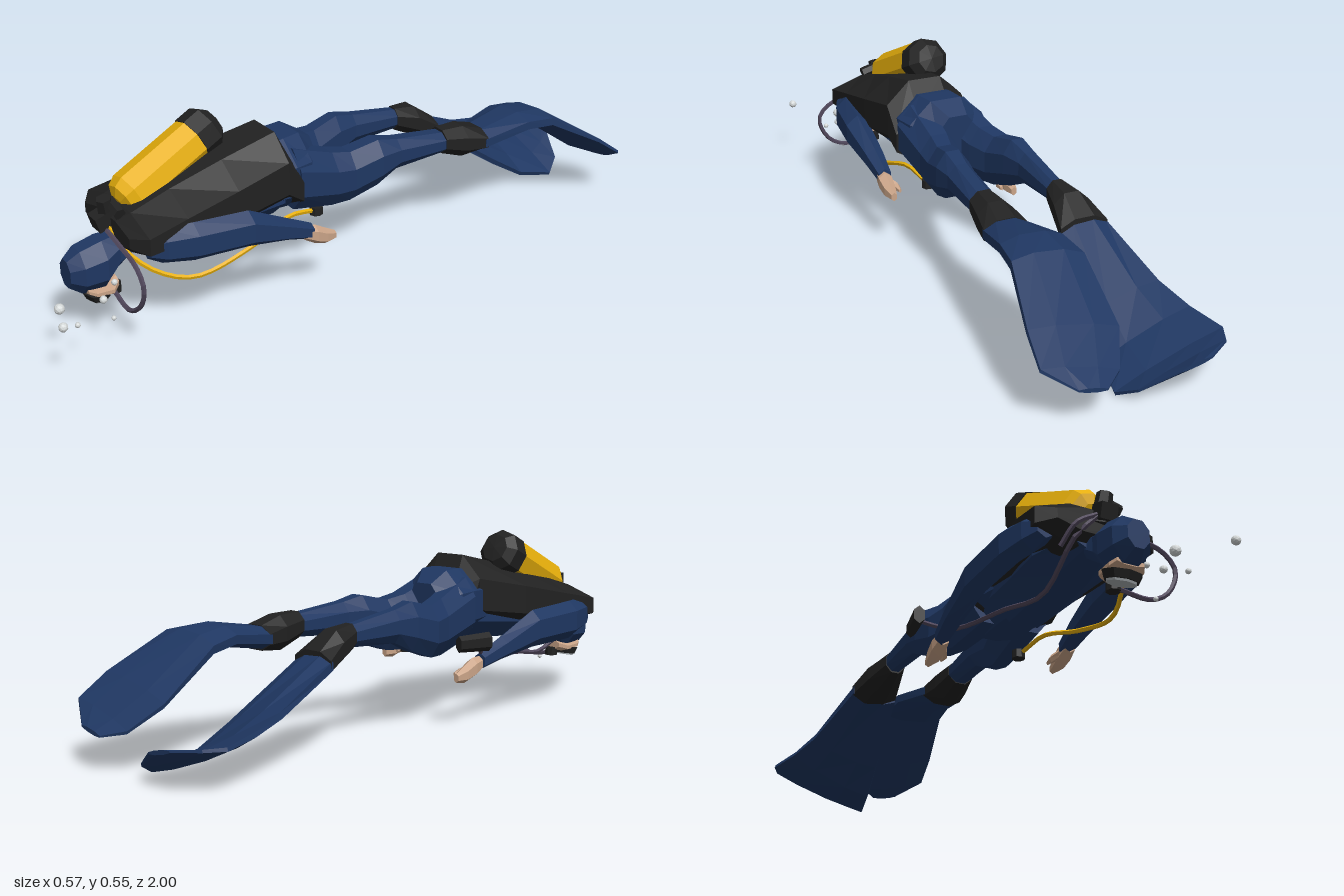
import * as THREE from 'three';

const mat = (name, color) => {
  const m = new THREE.MeshStandardMaterial({ color });
  m.name = name;
  return m;
};

export function createModel() {
  const model = new THREE.Group();
  model.name = 'diver';
  const blue = mat('wetsuit blue', 0x1f3762);
  const black = mat('gear black', 0x212121);
  const yellow = mat('tank yellow', 0xeeb50c);
  const skin = mat('skin', 0xcaa488);
  const hoseGrey = mat('hose grey', 0x50475b);
  const glass = mat('mask glass', 0xaab0b4);
  const bubbleWhite = mat('bubble white', 0xd6dada);

  // Adds a faceted mesh
  const add = (name, geometry, material, pos = [0, 0, 0], rot = [0, 0, 0]) => {
    const g = geometry.index ? geometry.toNonIndexed() : geometry;
    g.computeVertexNormals();
    const mesh = new THREE.Mesh(g, material);
    mesh.name = name;
    mesh.position.set(...pos);
    mesh.rotation.set(...rot);
    model.add(mesh);
    return mesh;
  };

  // Skins elliptical sections [x, y, z, rx, ry, roll], ordered from head to feet
  const loft = (name, material, sections, n = 8) => {
    const p = [], idx = [];
    const k = 1 / Math.cos(Math.PI / n);
    for (const [x, y, z, rx, ry, roll = 0] of sections) {
      for (let i = 0; i < n; i++) {
        const t = ((i + 0.5) / n) * Math.PI * 2;
        const u = Math.cos(t) * rx * k, v = Math.sin(t) * ry * k;
        p.push(x + u * Math.cos(roll) - v * Math.sin(roll), y + u * Math.sin(roll) + v * Math.cos(roll), z);
      }
    }
    const last = (sections.length - 1) * n;
    for (let s = 0; s < last; s += n) {
      for (let i = 0; i < n; i++) {
        const j = (i + 1) % n;
        idx.push(s + i, s + n + i, s + j, s + j, s + n + i, s + n + j);
      }
    }
    for (let i = 1; i < n - 1; i++) idx.push(0, i, i + 1, last, last + i + 1, last + i);
    const g = new THREE.BufferGeometry();
    g.setAttribute('position', new THREE.Float32BufferAttribute(p, 3));
    g.setIndex(idx);
    return add(name, g, material);
  };

  const hose = (name, material, points, r = 0.007) => {
    const curve = new THREE.CatmullRomCurve3(points.map((q) => new THREE.Vector3(...q)));
    add(name, new THREE.TubeGeometry(curve, points.length * 3, r, 5), material);
  };

  // Torso: buoyancy vest over a suit that shows at the belly and hips
  loft('vest', black, [
    [0.01, 0.30, 0.735, 0.13, 0.035], [0.012, 0.30, 0.70, 0.18, 0.06], [0.015, 0.315, 0.58, 0.172, 0.082],
    [0.035, 0.34, 0.42, 0.152, 0.105], [0.052, 0.368, 0.25, 0.125, 0.118], [0.04, 0.31, 0.195, 0.131, 0.07]]);
  loft('belly', blue, [
    [0.01, 0.27, 0.71, 0.08, 0.035], [0.01, 0.28, 0.58, 0.12, 0.07],
    [0.03, 0.305, 0.42, 0.115, 0.09], [0.045, 0.325, 0.25, 0.11, 0.10]]);
  loft('hips', blue, [
    [0.045, 0.34, 0.30, 0.11, 0.10], [0.035, 0.34, 0.21, 0.125, 0.108], [0.025, 0.335, 0.15, 0.12, 0.112],
    [0.012, 0.325, 0.09, 0.07, 0.085]]);

  // Hooded head, face and mask
  loft('hood', blue, [
    [0.028, 0.205, 0.875, 0.032, 0.04], [0.028, 0.205, 0.84, 0.056, 0.064], [0.028, 0.21, 0.775, 0.06, 0.073],
    [0.028, 0.235, 0.73, 0.045, 0.05], [0.025, 0.28, 0.66, 0.06, 0.045]]);
  loft('face', skin, [
    [0.03, 0.148, 0.83, 0.04, 0.01], [0.03, 0.14, 0.81, 0.052, 0.012],
    [0.03, 0.136, 0.76, 0.052, 0.014], [0.03, 0.145, 0.735, 0.03, 0.015]]);
  add('maskFrame', new THREE.CylinderGeometry(0.06, 0.05, 0.022, 8), black, [0.028, 0.122, 0.79], [0.15, 0, 0]).scale.z = 0.65;
  add('maskGlass', new THREE.CylinderGeometry(0.046, 0.044, 0.006, 8), glass, [0.028, 0.109, 0.787], [0.2, 0, 0]).scale.z = 0.65;
  add('mouthpiece', new THREE.CylinderGeometry(0.02, 0.02, 0.028, 8), black, [0.035, 0.122, 0.738]);

  // Arms and hands
  loft('rightArm', blue, [
    [-0.13, 0.275, 0.69, 0.025, 0.025], [-0.145, 0.275, 0.65, 0.035, 0.045], [-0.17, 0.268, 0.57, 0.033, 0.052],
    [-0.175, 0.26, 0.38, 0.032, 0.05], [-0.17, 0.215, 0.24, 0.026, 0.03], [-0.165, 0.185, 0.15, 0.02, 0.022]], 6);
  loft('leftArm', blue, [
    [0.15, 0.275, 0.69, 0.025, 0.025], [0.16, 0.277, 0.65, 0.035, 0.045], [0.192, 0.28, 0.57, 0.035, 0.05],
    [0.215, 0.28, 0.41, 0.037, 0.048], [0.21, 0.235, 0.28, 0.028, 0.03], [0.21, 0.205, 0.20, 0.02, 0.022]], 6);
  const hand = (side, s, x, y, z) => {
    loft(side + 'Palm', skin, [
      [x, y, z, 0.016, 0.018], [x, y - 0.012, z - 0.035, 0.021, 0.026],
      [x, y - 0.028, z - 0.07, 0.018, 0.022], [x, y - 0.035, z - 0.105, 0.009, 0.012]], 6);
    loft(side + 'Thumb', skin, [
      [x - s * 0.008, y - 0.01, z - 0.02, 0.01, 0.01], [x - s * 0.028, y - 0.025, z - 0.055, 0.009, 0.01],
      [x - s * 0.03, y - 0.03, z - 0.08, 0.004, 0.005]], 5);
  };
  hand('right', -1, -0.16, 0.18, 0.155);
  hand('left', 1, 0.213, 0.205, 0.225);

  // Legs, boots and fins
  loft('rightLeg', blue, [
    [-0.03, 0.33, 0.20, 0.07, 0.095], [-0.065, 0.29, 0.06, 0.055, 0.085], [-0.085, 0.285, 0.0, 0.052, 0.078],
    [-0.095, 0.31, -0.09, 0.046, 0.073], [-0.1, 0.318, -0.16, 0.036, 0.048], [-0.1, 0.308, -0.34, 0.029, 0.03]]);
  loft('leftLeg', blue, [
    [0.09, 0.33, 0.20, 0.075, 0.095], [0.09, 0.29, 0.06, 0.062, 0.085], [0.1, 0.285, 0.0, 0.054, 0.078],
    [0.115, 0.31, -0.09, 0.052, 0.073], [0.12, 0.32, -0.16, 0.042, 0.048], [0.13, 0.315, -0.34, 0.04, 0.032]]);
  loft('rightBoot', black, [
    [-0.1, 0.308, -0.325, 0.032, 0.036], [-0.106, 0.285, -0.40, 0.055, 0.05], [-0.11, 0.25, -0.47, 0.074, 0.036]]);
  loft('leftBoot', black, [
    [0.13, 0.318, -0.325, 0.042, 0.038], [0.13, 0.303, -0.40, 0.055, 0.05], [0.133, 0.295, -0.47, 0.066, 0.036]]);
  loft('rightFin', blue, [
    [-0.11, 0.248, -0.46, 0.072, 0.03, -0.05], [-0.115, 0.125, -0.68, 0.115, 0.022, -0.28],
    [-0.12, 0.077, -0.79, 0.143, 0.017, -0.37], [-0.122, 0.06, -0.90, 0.17, 0.013, -0.33],
    [-0.125, 0.075, -0.955, 0.135, 0.01, -0.3], [-0.138, 0.1, -1.0, 0.045, 0.006, -0.2]]);
  loft('leftFin', blue, [
    [0.133, 0.295, -0.46, 0.065, 0.032], [0.13, 0.32, -0.61, 0.092, 0.03, 0.05],
    [0.13, 0.31, -0.70, 0.106, 0.028, 0.1], [0.147, 0.2, -0.87, 0.133, 0.016, 0.2],
    [0.174, 0.138, -0.955, 0.115, 0.011, 0.25], [0.162, 0.105, -1.0, 0.042, 0.006, 0.2]]);

  // Air tank, with its base boot and valve
  const rear = new THREE.Vector3(-0.025, 0.495, 0.385), front = new THREE.Vector3(0.006, 0.352, 0.695);
  const turn = new THREE.Quaternion().setFromUnitVectors(new THREE.Vector3(0, 1, 0), front.clone().sub(rear).normalize());
  const lathe = (name, material, profile) => {
    const g = new THREE.LatheGeometry(profile.map((q) => new THREE.Vector2(...q)), 8);
    add(name, g, material, rear.toArray()).quaternion.copy(turn);
  };
  lathe('tank', yellow, [[0.067, 0.05], [0.067, 0.3], [0.055, 0.328], [0.025, 0.342], [0, 0.342]]);
  lathe('tankBase', black, [[0, -0.02], [0.045, -0.015], [0.07, 0.01], [0.07, 0.065], [0.066, 0.065]]);
  add('tankValve', new THREE.CylinderGeometry(0.022, 0.028, 0.09, 6), black, [0.015, 0.345, 0.735], [0.2, 0, -0.1]);
  add('valveKnob', new THREE.CylinderGeometry(0.018, 0.018, 0.06, 6), black, [0.045, 0.365, 0.725], [0, 0, 1.3]);
  add('firstStage', new THREE.BoxGeometry(0.05, 0.045, 0.05), black, [0.012, 0.325, 0.75], [0.3, 0, 0]);

  // Hoses and gauge
  hose('breathingHose', hoseGrey, [
    [0.02, 0.305, 0.75], [0.1, 0.28, 0.745], [0.19, 0.255, 0.745], [0.226, 0.21, 0.745],
    [0.2, 0.14, 0.745], [0.14, 0.103, 0.75], [0.045, 0.115, 0.745]]);
  hose('gaugeHose', hoseGrey, [
    [-0.01, 0.31, 0.75], [-0.06, 0.255, 0.72], [-0.066, 0.16, 0.56], [-0.1, 0.175, 0.4],
    [-0.15, 0.2, 0.18], [-0.205, 0.245, 0.1]]);
  hose('inflatorHose', hoseGrey, [[-0.01, 0.315, 0.75], [-0.07, 0.28, 0.74], [-0.095, 0.225, 0.7]]);
  hose('spareHose', yellow, [
    [0.03, 0.31, 0.74], [0.07, 0.25, 0.72], [0.12, 0.18, 0.65], [0.152, 0.145, 0.55],
    [0.155, 0.18, 0.37], [0.125, 0.22, 0.22], [0.11, 0.205, 0.13]]);
  add('spareRegulator', new THREE.CylinderGeometry(0.02, 0.02, 0.025, 8), black, [0.105, 0.2, 0.11]);
  add('gauge', new THREE.CylinderGeometry(0.026, 0.022, 0.11, 6), black, [-0.212, 0.255, 0.07], [Math.PI / 2, 0, 0.2])
    .scale.set(0.7, 1, 1.1);

  // Bubbles: x, y, z, radius
  [[0.24, 0.185, 0.985, 0.013], [0.095, 0.147, 0.93, 0.015], [0.148, 0.115, 0.905, 0.008],
    [0.127, 0.085, 0.79, 0.007], [0.135, 0.157, 0.82, 0.011], [0.115, 0.186, 0.775, 0.009],
  ].forEach(([x, y, z, r]) => add('bubble', new THREE.IcosahedronGeometry(r, 1), bubbleWhite, [x, y, z]));

  return model;
}
